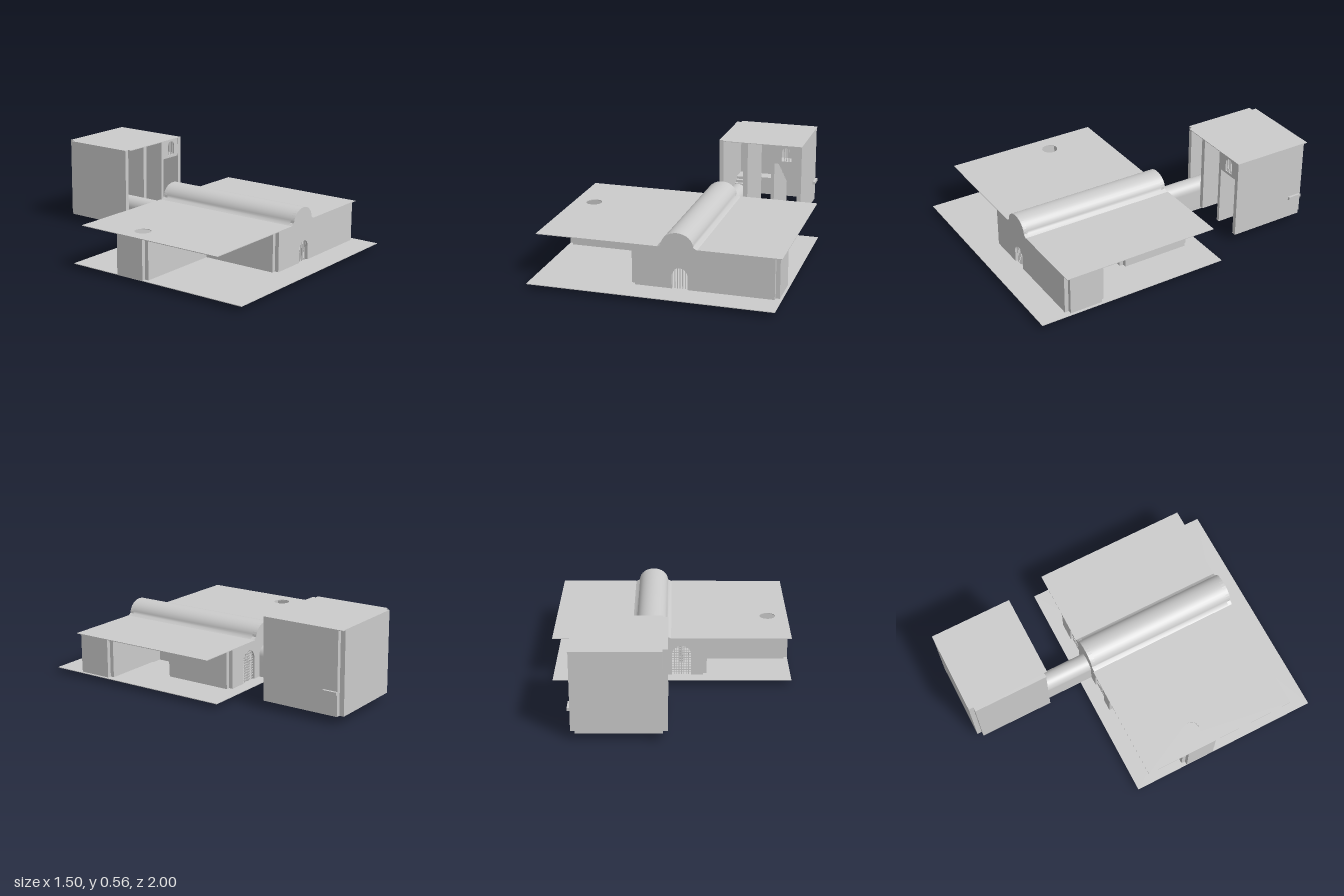
import * as THREE from 'three';

const grey = new THREE.MeshStandardMaterial({ color: 0xcccccc, side: THREE.DoubleSide });
const faceted = new THREE.MeshStandardMaterial({ color: 0xcccccc, side: THREE.DoubleSide, flatShading: true });
const FLOOR = 0.03, ROOF = 0.285, T = 0.025;

export function createModel() {
  const model = new THREE.Group();

  function add(name, geometry, parent = model, material = grey) {
    const mesh = new THREE.Mesh(geometry, material);
    mesh.name = name;
    parent.add(mesh);
    return mesh;
  }

  // Box given by its min and max corners
  function box(name, x0, x1, y0, y1, z0, z1, parent = model) {
    const mesh = add(name, new THREE.BoxGeometry(x1 - x0, y1 - y0, z1 - z0), parent);
    mesh.position.set((x0 + x1) / 2, (y0 + y1) / 2, (z0 + z1) / 2);
    return mesh;
  }

  const polygon = pts => new THREE.Shape(pts.map(p => new THREE.Vector2(...p)));
  const rect = (x0, x1, y0, y1) => [[x0, y0], [x1, y0], [x1, y1], [x0, y1]];

  // Thin horizontal sheet drawn in x and z
  function sheet(name, pts, top, hole) {
    const shape = polygon(pts);
    if (hole) shape.holes.push(hole);
    const geo = new THREE.ExtrudeGeometry(shape, { depth: 0.004, bevelEnabled: false, curveSegments: 24 });
    geo.rotateX(Math.PI / 2);
    add(name, geo).position.y = top;
  }

  // Round-headed opening
  function archPath(cx, y0, w, h) {
    const r = w / 2, path = new THREE.Path();
    path.moveTo(cx - r, y0);
    path.lineTo(cx + r, y0);
    path.lineTo(cx + r, y0 + h - r);
    path.absarc(cx, y0 + h - r, r, 0, Math.PI, false);
    path.lineTo(cx - r, y0);
    return path;
  }

  // Bars filling a round-headed opening
  function grille(cx, y0, w, h, columns, rows, z, parent) {
    const r = w / 2, b = 0.0025, spring = h - r;
    for (let i = 1; i < columns; i++) {
      const dx = -r + w * i / columns;
      box('grilleBar', cx + dx - b, cx + dx + b, y0, y0 + spring + Math.sqrt(r * r - dx * dx), z - b, z + b, parent);
    }
    for (let j = 1; j < rows; j++) {
      const dy = h * j / rows;
      const half = dy > spring ? Math.sqrt(r * r - (dy - spring) ** 2) : r;
      box('grilleBar', cx - half, cx + half, y0 + dy - b, y0 + dy + b, z - b, z + b, parent);
    }
  }

  // Barrel vault profile with flared feet
  const vault = [[0.005, ROOF], [0.03, 0.3]];
  for (let i = 1; i < 16; i++) {
    const a = Math.PI * (1 - i / 16);
    vault.push([0.1275 + 0.0975 * Math.cos(a), 0.3 + 0.08 * Math.sin(a)]);
  }
  vault.push([0.225, 0.3], [0.25, ROOF]);

  // Sheet that sweeps a profile straight along z
  function sweep(name, profile, z0, z1) {
    const geo = new THREE.PlaneGeometry(1, 1, profile.length - 1, 1);
    const pos = geo.attributes.position;
    for (let i = 0; i < pos.count; i++) {
      const p = profile[i % profile.length];
      pos.setXYZ(i, p[0], p[1], i < profile.length ? z0 : z1);
    }
    geo.computeVertexNormals();
    return add(name, geo);
  }

  // Outer wall between two plan corners, its thickness lying inward
  function wall(a, b, trimA, trimB, { arches = [], gable } = {}) {
    const dx = b[0] - a[0], dz = b[1] - a[1], len = Math.hypot(dx, dz);
    const u0 = trimA ? T : 0, u1 = len - (trimB ? T : 0);
    const pts = [[u0, FLOOR], [u1, FLOOR], [u1, ROOF]];
    if (gable) {
      const g = vault.map(p => [(p[0] - a[0]) * Math.sign(dx), p[1]]);
      pts.push(...g.sort((p, q) => q[0] - p[0]));
    }
    pts.push([u0, ROOF]);
    const shape = polygon(pts);
    const group = new THREE.Group();
    group.name = 'hallWall';
    for (const [x, w, h, columns, rows] of arches) {
      const u = (x - a[0]) * Math.sign(dx);
      shape.holes.push(archPath(u, FLOOR + 0.002, w, h));
      grille(u, FLOOR + 0.002, w, h, columns, rows, -T / 2, group);
    }
    const geo = new THREE.ExtrudeGeometry(shape, { depth: T, bevelEnabled: false });
    geo.translate(0, 0, -T);
    add('wallPanel', geo, group);
    group.position.set(a[0], 0, a[1]);
    group.rotation.y = Math.atan2(-dz, dx);
    model.add(group);
  }

  // Stepped hall plan with open notches at the outer corners
  const plan = [[-0.157, 0.83], [0.735, 0.83], [0.735, 0.57], [0.25, 0.57], [0.25, 0.315], [0.5, 0.315],
    [0.5, -0.17], [-0.22, -0.17], [-0.22, 0.075], [-0.75, 0.075], [-0.75, 0.315], [-0.157, 0.315]];
  const convex = [0, 1, 2, 5, 6, 7, 9, 10];
  const features = {
    0: { gable: true, arches: [[0.143, 0.095, 0.133, 6, 1]] },
    6: { gable: true, arches: [[0.3, 0.12, 0.2, 8, 12], [-0.06, 0.12, 0.2, 8, 12]] },
  };
  plan.forEach((a, i) => {
    const j = (i + 1) % plan.length;
    wall(a, plan[j], convex.includes(i), convex.includes(j), features[i]);
  });

  // Ground sheet with sunken basin
  const basinHole = polygon(rect(-0.07, 0.325, 0.03, 0.73));
  sheet('floor', rect(-0.75, 0.75, -0.25, 1), FLOOR + 0.004, basinHole);
  const basinProfile = [[0, 0], [0.9, 0], [1, 0.02], [1, FLOOR]].map(p => new THREE.Vector2(...p));
  const basin = add('basin', new THREE.LatheGeometry(basinProfile, 4, Math.PI / 4), model, faceted);
  basin.scale.set(0.395 / Math.SQRT2, 1, 0.7 / Math.SQRT2);
  basin.position.set(0.1275, 0, 0.38);

  // Flat roofs either side of the vault
  const skylight = new THREE.Path().absarc(-0.62, 0.19, 0.05, 0, Math.PI * 2, false);
  sheet('leftRoof', rect(-0.75, 0.005, -0.18, 0.83), ROOF + 0.003, skylight);
  sheet('rightRoof', rect(0.25, 0.75, -0.18, 0.83), ROOF + 0.003);
  sweep('barrelVault', vault, -0.175, 0.83);

  // Covered passage from hall to tower
  const passage = [[0.062, FLOOR], [0.062, 0.168]];
  for (let i = 1; i < 16; i++) {
    const a = Math.PI * (1 - i / 16);
    passage.push([0.124 + 0.062 * Math.cos(a), 0.168 + 0.062 * Math.sin(a)]);
  }
  passage.push([0.186, 0.168], [0.186, FLOOR]);
  sweep('passageVault', passage, -0.6, -0.17);
  sheet('passageFloor', rect(0.062, 0.186, -0.63, -0.25), FLOOR + 0.004);

  // Stair tower shell, open to the front and below
  const LOW = 0.05, HIGH = 0.56;
  box('towerLeftWall', 0.022, 0.05, LOW, HIGH, -0.97, -0.49);
  box('towerBackWall', 0.05, 0.557, LOW, HIGH, -1, -0.97);
  box('towerRightWall', 0.557, 0.585, LOW, HIGH, -0.97, -0.47);
  box('towerInnerWall', 0.19, 0.22, LOW, HIGH, -0.88, -0.475);
  box('towerInnerWall', 0.38, 0.402, LOW, HIGH, -0.88, -0.475);
  sheet('towerRoof', [[0.05, -1], [0.585, -1], [0.585, -0.47], [0.05, -0.47], [0.05, -0.49],
    [0.02, -0.49], [0.02, -0.97], [0.05, -0.97]], HIGH + 0.003);

  // Arched window at the head of the stairs
  const panel = polygon(rect(0.402, 0.557, 0.45, HIGH));
  panel.holes.push(archPath(0.483, 0.455, 0.065, 0.093));
  const panelGeo = new THREE.ExtrudeGeometry(panel, { depth: 0.012, bevelEnabled: false });
  add('windowPanel', panelGeo).position.z = -0.485;
  grille(0.483, 0.455, 0.065, 0.093, 4, 1, -0.478, model);

  // Two flights joined by a landing that pokes through the side wall
  function flight(name, x0, x1, yStart, yEnd, zStart, zEnd, count) {
    const group = new THREE.Group();
    group.name = name;
    const rise = (yEnd - yStart) / count, run = (zEnd - zStart) / count;
    for (let i = 0; i < count; i++) {
      const za = zStart + run * i, zb = za + run, y = yStart + rise * i;
      box('step', x0, x1, y, y + rise, Math.min(za, zb), Math.max(za, zb), group);
    }
    model.add(group);
  }
  flight('lowerStairs', 0.05, 0.19, 0.025, 0.2, -0.62, -0.88, 10);
  box('landing', 0.05, 0.6, 0.18, 0.2, -0.97, -0.88);
  flight('upperStairs', 0.402, 0.557, 0.2, 0.45, -0.88, -0.55, 14);
  box('upperLanding', 0.402, 0.557, 0.436, 0.45, -0.55, -0.475);

  return model;
}
